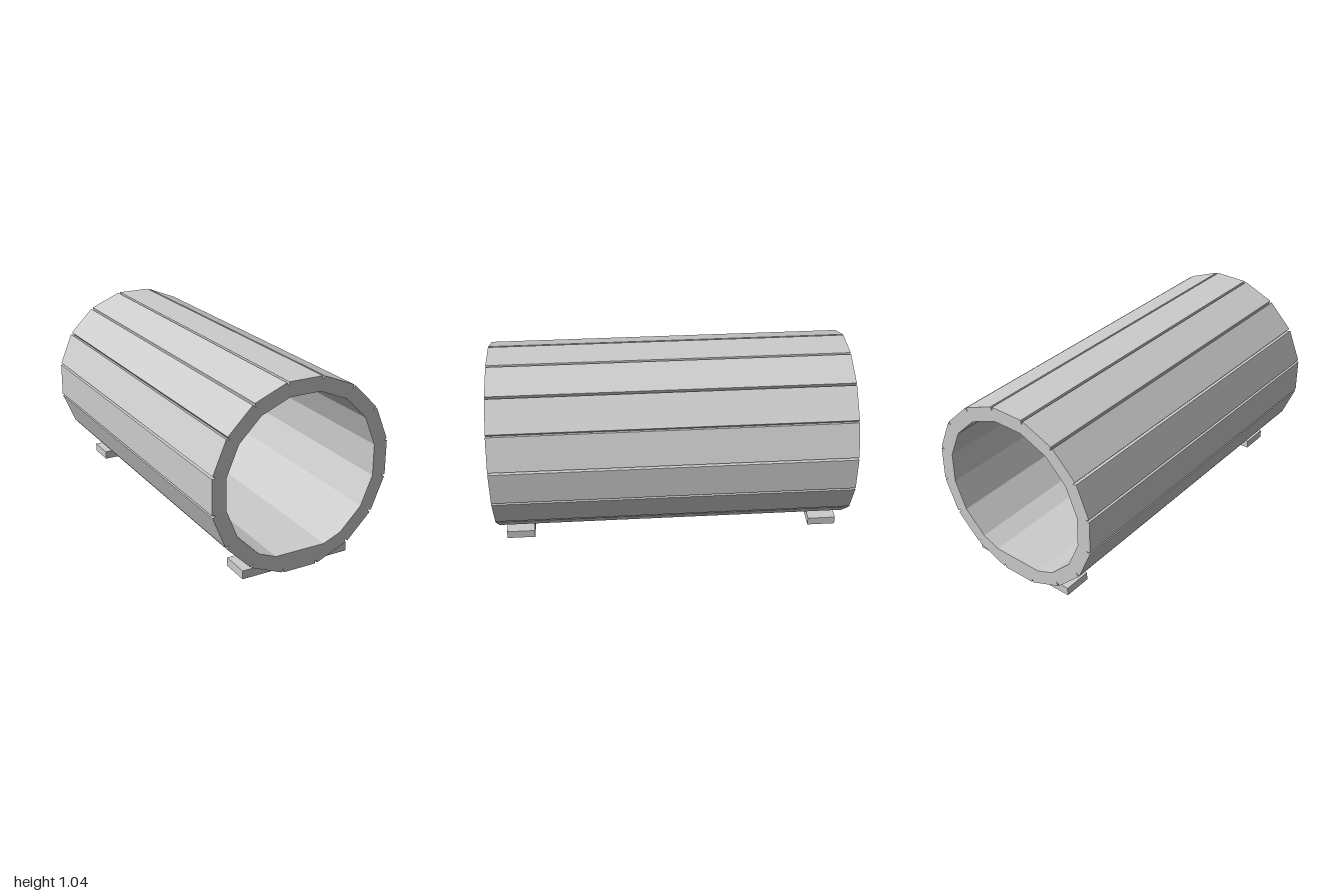
import * as THREE from 'three';

const SIDES = 16, CENTRE_Y = 0.52, OUTER = 0.52, INNER = 0.44, FLOOR_Y = 0.105;

// Corner i of a polygon that has flat faces at top, bottom and both sides
function corner(i, apothem) {
  const a = ((i + 0.5) / SIDES) * Math.PI * 2;
  const r = apothem / Math.cos(Math.PI / SIDES);
  return new THREE.Vector2(Math.cos(a) * r, Math.sin(a) * r + CENTRE_Y);
}

export function createModel() {
  const model = new THREE.Group();
  model.name = 'pipeOnSupports';
  const grey = new THREE.MeshStandardMaterial({ color: 0xcccccc });
  grey.name = 'light grey';

  // Outer outline with a small V groove at every corner
  const outline = [];
  for (let i = 0; i < SIDES; i++) {
    const c = corner(i, OUTER);
    const before = c.clone().lerp(corner(i - 1, OUTER), 0.033);
    const after = c.clone().lerp(corner(i + 1, OUTER), 0.033);
    const tip = new THREE.Vector2(0, CENTRE_Y).lerp(c, 0.955);
    outline.push(before, tip, after);
  }
  const shape = new THREE.Shape(outline);

  // Bore, with its lowest corners cut off by a wider flat floor
  const bore = [];
  for (let i = 0; i < SIDES; i++) {
    const p = corner(i, INNER);
    if (p.y < FLOOR_Y) {
      const side = Math.sign(p.x);
      const next = corner(side < 0 ? i - 1 : i + 1, INNER);
      p.lerp(next, (FLOOR_Y - p.y) / (next.y - p.y));
    }
    bore.push(p);
  }
  shape.holes.push(new THREE.Path(bore));

  const pipeGeometry = new THREE.ExtrudeGeometry(shape, { depth: 2, bevelEnabled: false });
  pipeGeometry.translate(0, 0, -1);
  const pipe = new THREE.Mesh(pipeGeometry, grey);
  pipe.name = 'groovedPipe';
  model.add(pipe);

  // Flat cross bars under both ends
  for (const [name, z] of [['frontSupport', 0.88], ['backSupport', -0.88]]) {
    const bar = new THREE.Mesh(new THREE.BoxGeometry(0.64, 0.048, 0.16), grey);
    bar.name = name;
    bar.position.set(0, 0.024, z);
    model.add(bar);
  }
  return model;
}
